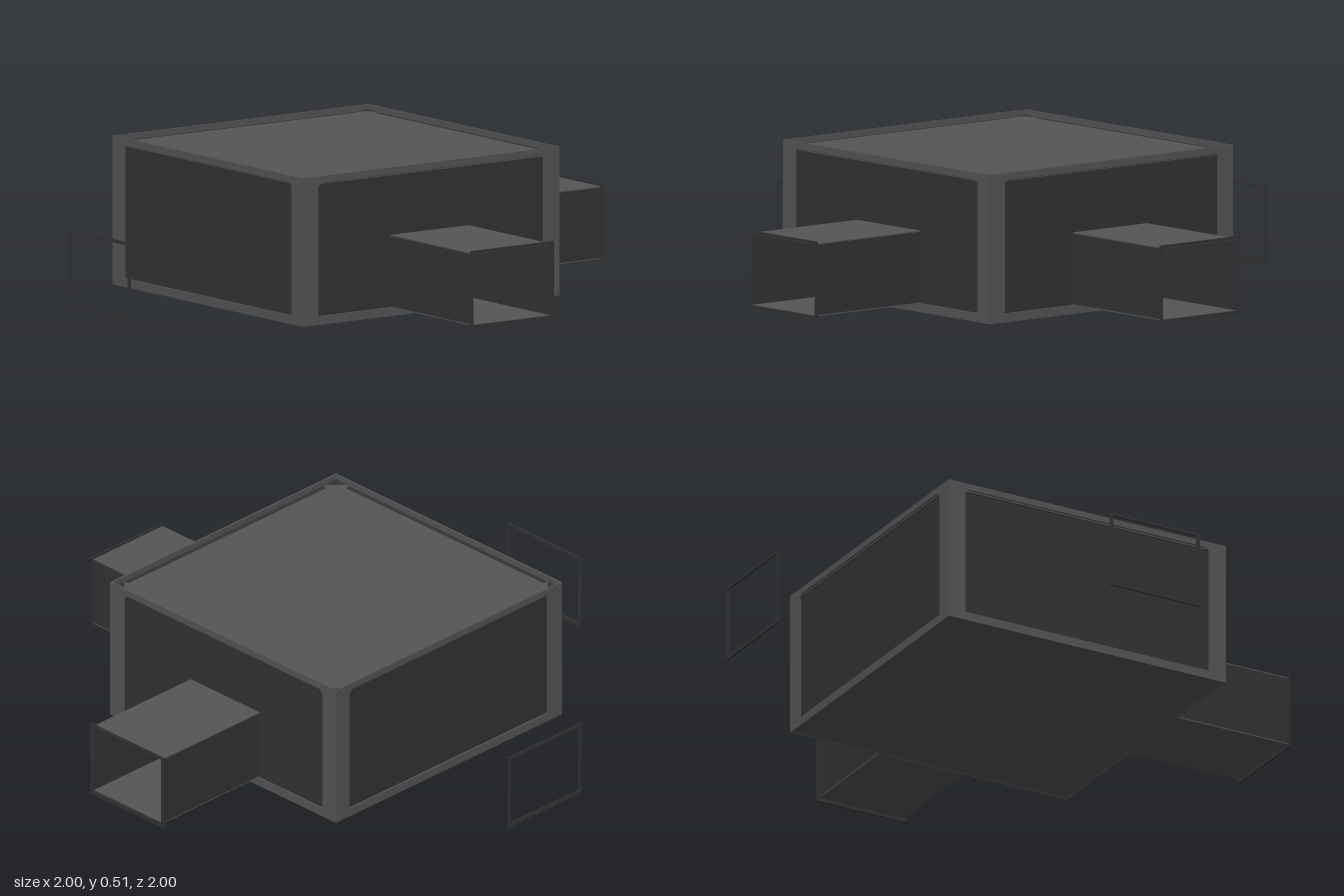
import * as THREE from 'three';

const light = new THREE.MeshStandardMaterial({ color: 0x555555, side: THREE.DoubleSide });
light.name = 'light grey';
const dark = new THREE.MeshStandardMaterial({ color: 0x333333, side: THREE.DoubleSide });
dark.name = 'dark grey';

function add(parent, name, geometry, material, x = 0, y = 0, z = 0) {
  const mesh = new THREE.Mesh(geometry, material);
  mesh.name = name;
  mesh.position.set(x, y, z);
  parent.add(mesh);
  return mesh;
}

const box = (w, h, d) => new THREE.BoxGeometry(w, h, d);

function rect(x0, x1, y0, y1) {
  return [[x0, y0], [x1, y0], [x1, y1], [x0, y1]].map(p => new THREE.Vector2(...p));
}

// Flat plate with a hole, facing +z
function framePlate(outer, hole, depth) {
  const shape = new THREE.Shape(outer);
  shape.holes.push(new THREE.Path(hole));
  return new THREE.ExtrudeGeometry(shape, { depth, bevelEnabled: false });
}

// One room wall: outer frame with chamfered upper corners, recessed panel, roof gutter
function wall() {
  const g = new THREE.Group();
  g.name = 'wall';
  const hole = [[-0.475, 0.03], [0.475, 0.03], [0.475, 0.475], [0.46, 0.488], [-0.46, 0.488], [-0.475, 0.475]]
    .map(p => new THREE.Vector2(...p));
  add(g, 'wallFrame', framePlate(rect(-0.54, 0.54, 0, 0.51), hole, 0.006), light, 0, 0, 0.534);
  add(g, 'wallPanel', box(1.03, 0.47, 0.01), dark, 0, 0.25, 0.52);
  add(g, 'gutter', box(0.94, 0.004, 0.022), dark, 0, 0.488, 0.524);
  return g;
}

// Thin rectangular ring at the end of each connection
function endFrame() {
  const g = framePlate(rect(-0.175, 0.175, 0.015, 0.285), rect(-0.163, 0.163, 0.03, 0.275), 0.006);
  return g;
}

// Open corridor with a doorway at its inner end
function corridor() {
  const g = new THREE.Group();
  g.name = 'corridor';
  const length = 0.465, mid = 0.7625;
  add(g, 'corridorRoof', box(0.33, 0.004, length), light, 0, 0.275, mid);
  add(g, 'corridorFloor', box(0.33, 0.004, length), light, 0, 0.03, mid);
  for (const s of [-1, 1]) {
    add(g, 'corridorWall', box(0.004, 0.241, length), dark, s * 0.163, 0.1525, mid);
    add(g, 'doorPost', box(0.03, 0.228, 0.008), light, s * 0.093, 0.146, 0.531);
  }
  add(g, 'doorLintel', box(0.156, 0.03, 0.008), light, 0, 0.245, 0.531);
  return g;
}

export function createModel() {
  const model = new THREE.Group();
  model.name = 'room';

  // Room floor and sunken roof
  add(model, 'floor', box(1.07, 0.006, 1.07), light, 0, 0.004, 0);
  add(model, 'roof', box(1.03, 0.006, 1.03), light, 0, 0.488, 0);
  add(model, 'roofCornerBase', box(1.07, 0.004, 1.07), light, 0, 0.484, 0);

  // Four sides: front, right-hand (+x), back and -x
  for (let i = 0; i < 4; i++) {
    const side = new THREE.Group();
    side.name = 'side';
    side.rotation.y = i * Math.PI / 2;
    side.add(wall());
    add(side, 'endFrame', endFrame(), dark, 0, 0, 0.994);
    if (i < 2) side.add(corridor());

    // Dark wedge in the roof corner
    const wedge = new THREE.Shape([[0, 0], [-0.045, 0], [-0.045, -0.012], [-0.012, -0.045], [0, -0.045]]
      .map(p => new THREE.Vector2(...p)));
    const corner = add(side, 'roofCorner', new THREE.ShapeGeometry(wedge), dark, 0.534, 0.493, 0.534);
    corner.rotation.x = Math.PI / 2;
    model.add(side);
  }
  return model;
}
